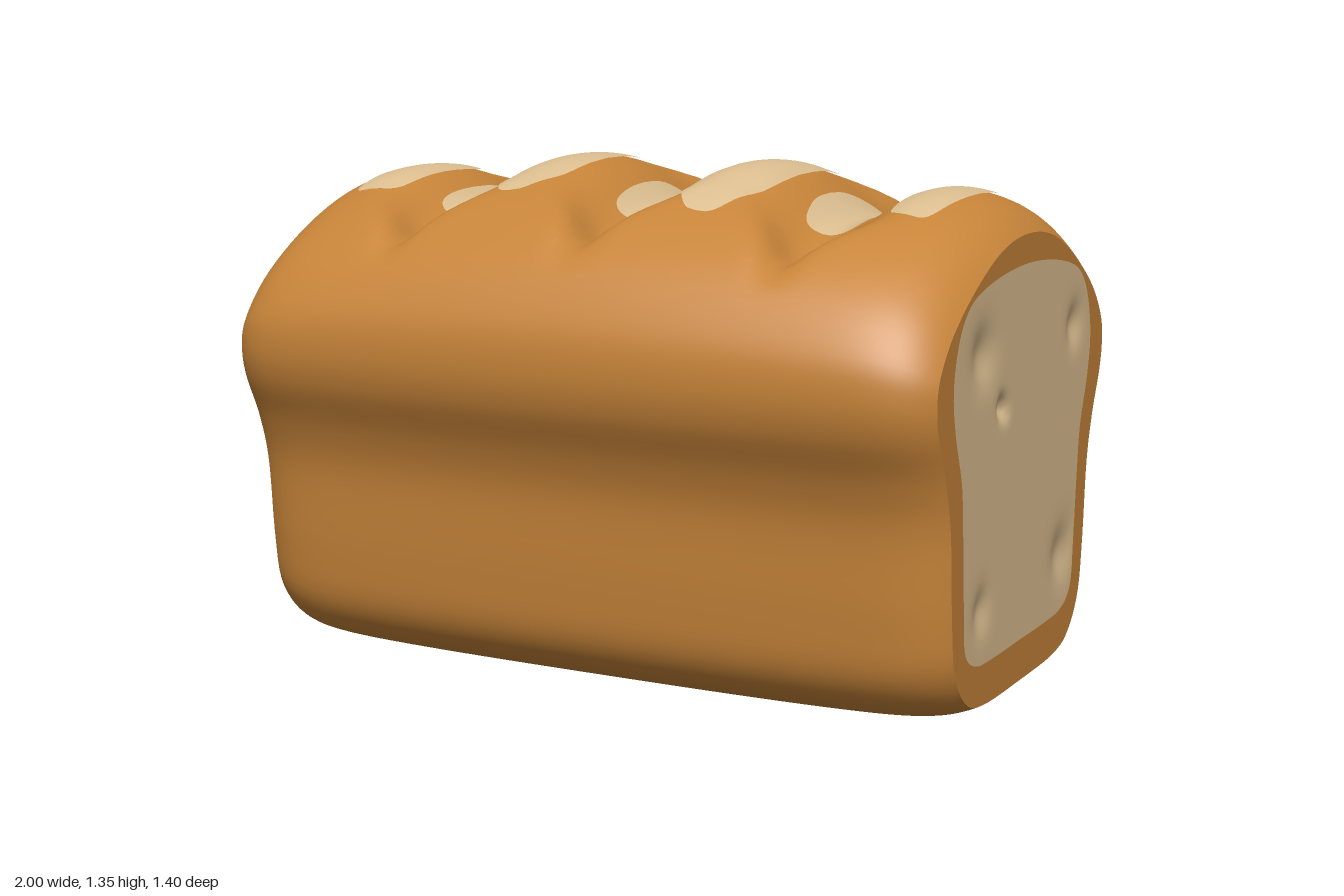
import * as THREE from 'three';

const crust = new THREE.MeshStandardMaterial({ color: 0xc78439 });
crust.name = 'golden crust';
const crumb = new THREE.MeshStandardMaterial({ color: 0xdcbe90 });
crumb.name = 'pale crumb';

// Closed section curve from half a profile of [z, y], bottom centre to top centre
function section(half) {
  const back = half.slice(1, -1).reverse().map(([z, y]) => [-z, y]);
  const pts = [...half, ...back].map(([z, y]) => new THREE.Vector3(0, y, z));
  return new THREE.CatmullRomCurve3(pts, true, 'catmullrom', 0.5);
}
const loafSection = section([
  [0, 0], [0.3, 0.005], [0.44, 0.04], [0.53, 0.14], [0.56, 0.3], [0.58, 0.52], [0.62, 0.65],
  [0.68, 0.77], [0.7, 0.88], [0.68, 1.0], [0.59, 1.14], [0.43, 1.255], [0.22, 1.335], [0, 1.36],
]);
const crumbSection = section([
  [0, 0.15], [0.2, 0.15], [0.32, 0.16], [0.39, 0.21], [0.405, 0.33], [0.42, 0.52], [0.435, 0.64],
  [0.48, 0.76], [0.5, 0.86], [0.485, 0.95], [0.44, 1.03], [0.36, 1.08], [0.2, 1.112], [0, 1.125],
]);

const smooth = THREE.MathUtils.smoothstep;

// Point on the loaf: x along the length, u around the section (0.5 is the top)
function loafPoint(x, u) {
  const p = loafSection.getPoint(u);
  const ax = Math.abs(x);
  const z = p.z * (1 - 0.04 * ax ** 2 - 0.1 * ax ** 14);
  let y = p.y;
  y += (0.015 * ax ** 4 + 0.025 * ax ** 16) * (1 - smooth(y, 0, 0.5));
  y -= (0.08 * ax ** 2 + 0.08 * ax ** 12) * smooth(y, 0.7, 1.3);
  // three slashes across the top, narrowing to a cut at each side
  if (p.y > 0.9) {
    const az = Math.abs(z);
    const width = 0.14 - 0.09 * smooth(az, 0.22, 0.52);
    const depth = 0.14 * (1 - smooth(az, 0.32, 0.62));
    for (const c of [-0.55, 0, 0.55]) {
      y -= depth * (c ? 0.9 : 1) * Math.exp(-(((x - c) / width) ** 2));
    }
  }
  return new THREE.Vector3(x, y, z);
}

// Surface over a grid that closes on itself in the second direction
function wrappedGrid(rows, cols, point, flip = false) {
  const pos = [], index = [];
  for (let i = 0; i <= rows; i++) {
    for (let j = 0; j < cols; j++) pos.push(...point(i / rows, j / cols).toArray());
  }
  for (let i = 0; i < rows; i++) {
    for (let j = 0; j < cols; j++) {
      const a = i * cols + j, b = a + cols;
      const d = i * cols + ((j + 1) % cols), c = d + cols;
      if (flip) index.push(a, c, b, a, d, c);
      else index.push(a, b, c, a, c, d);
    }
  }
  const g = new THREE.BufferGeometry();
  g.setAttribute('position', new THREE.Float32BufferAttribute(pos, 3));
  g.setIndex(index);
  g.computeVertexNormals();
  return g;
}

// Find u on the top of the loaf for a given z
function topPoint(x, z) {
  let lo = 0.34, hi = 0.66;
  for (let k = 0; k < 24; k++) {
    const mid = (lo + hi) / 2;
    if (loafPoint(x, mid).z > z) lo = mid;
    else hi = mid;
  }
  return loafPoint(x, lo);
}

// Pale patch lying on the crust, with a slightly uneven rounded outline
function patchGeometry(x0, x1, z0, z1) {
  const cx = (x0 + x1) / 2, cz = (z0 + z1) / 2;
  const soft = (v) => Math.sign(v) * Math.abs(v) ** 0.65;
  return wrappedGrid(12, 48, (r, t) => {
    const a = t * Math.PI * 2;
    const k = r * (1 + 0.03 * Math.sin(5 * a + cx * 9));
    const p = topPoint(cx + (k * soft(Math.cos(a)) * (x1 - x0)) / 2,
      cz - (k * soft(Math.sin(a)) * (z1 - z0)) / 2);
    p.y += 0.006;
    return p;
  });
}

// Dents in each cut face: z, y, radius, depth
const dents = {
  1: [[0.3, 0.93, 0.08, 0.02], [0.16, 0.78, 0.035, 0.025], [-0.37, 0.92, 0.06, 0.018],
    [0.28, 0.29, 0.06, 0.015], [-0.31, 0.31, 0.08, 0.018]],
  '-1': [[0.36, 0.92, 0.035, 0.03], [-0.18, 0.98, 0.04, 0.03], [-0.36, 0.84, 0.05, 0.035],
    [-0.23, 0.7, 0.04, 0.03], [0.33, 0.42, 0.055, 0.035], [-0.3, 0.26, 0.045, 0.02]],
};

export function createModel() {
  const group = new THREE.Group();
  group.name = 'breadLoaf';
  const add = (name, geometry, material) => {
    const mesh = new THREE.Mesh(geometry, material);
    mesh.name = name;
    group.add(mesh);
  };

  // Crust around the loaf, with closer rows at the rounded ends
  add('crustBody', wrappedGrid(120, 128, (s, u) => {
    const t = 2 * s - 1;
    return loafPoint(t * (1.2 - 0.2 * t * t), u);
  }), crust);

  // Crust rim and dented crumb face at each end
  for (const side of [1, -1]) {
    const label = side > 0 ? 'left' : 'right';
    add(label + 'EndCrust', wrappedGrid(4, 128, (s, u) => {
      const inner = crumbSection.getPoint(u).setX(side);
      return loafPoint(side, u).lerp(inner, s);
    }, side < 0), crust);
    const centre = new THREE.Vector3(side, 0.64, 0);
    add(label + 'CrumbFace', wrappedGrid(28, 128, (s, u) => {
      const p = crumbSection.getPoint(u).setX(side).lerp(centre, s);
      for (const [z, y, r, d] of dents[side]) {
        const q = ((p.z - z) ** 2 + (p.y - y) ** 2) / (r * r);
        p.x -= side * d * Math.exp(-q * 1.5) * smooth(s, 0, 0.08);
      }
      return p;
    }, side < 0), crumb);
  }

  // Pale patches on the ridges and in the slashes: x range, z range
  const patches = [
    [-0.86, -0.71, -0.22, 0.3], [-0.64, -0.45, -0.23, 0.23], [-0.39, -0.2, -0.33, 0.36],
    [-0.1, 0.1, -0.22, 0.22], [0.17, 0.38, -0.32, 0.41], [0.45, 0.61, -0.23, 0.22],
    [0.71, 0.86, -0.31, 0.29],
  ];
  patches.forEach((p, i) => add('palePatch' + (i + 1), patchGeometry(...p), crumb));
  return group;
}
